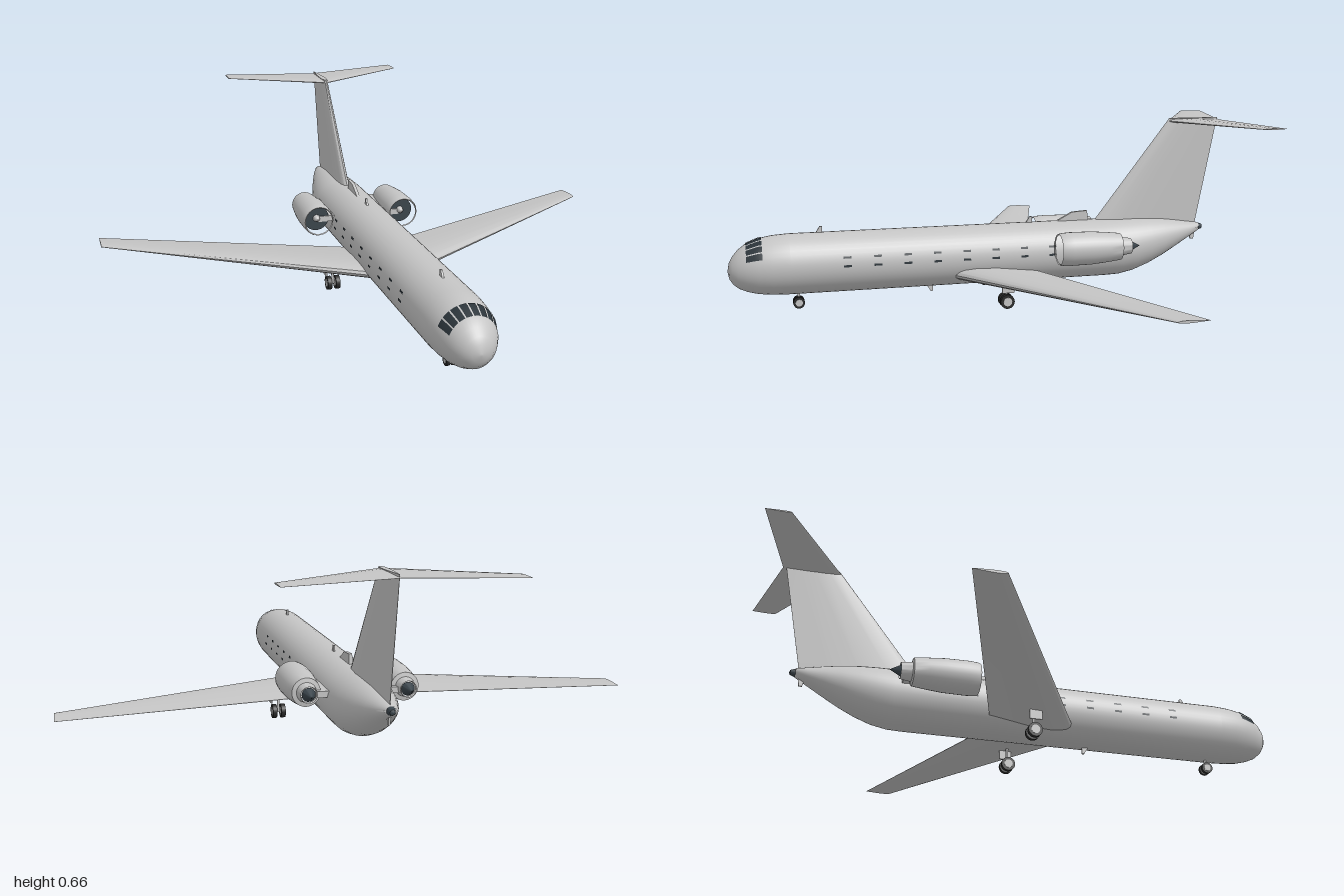
import * as THREE from 'three';
import { mergeGeometries, toCreasedNormals } from 'three/addons/utils/BufferGeometryUtils.js';

const mat = (name, color) => {
  const m = new THREE.MeshStandardMaterial({ color });
  m.name = name;
  return m;
};

// Skin through rings of [x, y, z]; closed rings get end caps.
function loft(rings, closed = true) {
  const n = rings[0].length, pos = rings.flat(), idx = [];
  const cols = closed ? n : n - 1;
  for (let i = 0; i < rings.length - 1; i++) for (let j = 0; j < cols; j++) {
    const a = i * n + j, b = i * n + (j + 1) % n, c = a + n, d = b + n;
    idx.push(a, c, b, b, c, d);
  }
  if (closed) {
    const last = (rings.length - 1) * n;
    for (let j = 1; j < n - 1; j++) idx.push(0, j, j + 1, last, last + j + 1, last + j);
  }
  const g = new THREE.BufferGeometry();
  g.setAttribute('position', new THREE.Float32BufferAttribute(pos.flat(), 3));
  g.setIndex(idx);
  g.computeVertexNormals();
  return g;
}

// Symmetric aerofoil outline: [distance behind leading edge, half height]
const upper = [[0, 0], [0.02, 0.45], [0.08, 0.8], [0.25, 1], [0.5, 0.85], [0.75, 0.45], [1, 0.04]];
const foil = [...upper, ...upper.slice(1).reverse().map(([t, h]) => [t, -h])];

// Sections of [x, y, leading z, trailing z, thickness]
const flatSurface = (sections) => toCreasedNormals(loft(sections.map(([x, y, z0, z1, th]) =>
  foil.map(([t, h]) => [x, y + h * th / 2, z0 + (z1 - z0) * t]))), 0.6);

// Fuselage stations: [z, bottom y, top y, half width]
const stations = [
  [0.987, 0.148, 0.156, 0.004], [0.982, 0.125, 0.184, 0.029], [0.97, 0.106, 0.206, 0.049],
  [0.95, 0.089, 0.229, 0.068], [0.92, 0.076, 0.252, 0.085], [0.88, 0.066, 0.267, 0.098],
  [0.83, 0.061, 0.276, 0.106], [0.77, 0.059, 0.28, 0.11], [-0.42, 0.059, 0.28, 0.11],
  [-0.48, 0.061, 0.28, 0.109], [-0.54, 0.073, 0.28, 0.103], [-0.6, 0.095, 0.278, 0.092],
  [-0.66, 0.124, 0.273, 0.077], [-0.72, 0.158, 0.264, 0.058], [-0.78, 0.193, 0.254, 0.037],
  [-0.82, 0.216, 0.248, 0.02]];

function skin(z, a, off = 0) {
  let i = 0;
  while (i < stations.length - 2 && stations[i + 1][0] > z) i++;
  const p = stations[i], q = stations[i + 1], t = (p[0] - z) / (p[0] - q[0]);
  const [b, top, w] = [1, 2, 3].map(k => p[k] + (q[k] - p[k]) * t);
  return [Math.cos(a) * (w + off), (b + top) / 2 + Math.sin(a) * ((top - b) / 2 + off), z];
}

// Pane lying just proud of the fuselage skin, angles in degrees
function pane(z0, z1, a0, a1) {
  const rings = [];
  for (let i = 0; i <= 4; i++) {
    const ring = [];
    for (let j = 0; j <= 4; j++)
      ring.push(skin(z0 + (z1 - z0) * i / 4, THREE.MathUtils.degToRad(a0 + (a1 - a0) * j / 4), 0.002));
    rings.push(ring);
  }
  return loft(rings, false);
}

// Lathe along z, profile of [radius, z] running from back to front
const turned = (pts) => toCreasedNormals(
  new THREE.LatheGeometry(pts.map(p => new THREE.Vector2(...p)), 32).rotateX(Math.PI / 2), 0.6);

// Thin vertical plate from a [z, y] outline
function blade(outline, thick) {
  const s = new THREE.Shape(outline.map(([z, y]) => new THREE.Vector2(-z, y)));
  return new THREE.ExtrudeGeometry(s, { depth: thick, bevelEnabled: false })
    .translate(0, 0, -thick / 2).rotateY(Math.PI / 2);
}

export function createModel() {
  const root = new THREE.Group();
  root.name = 'airliner';
  const grey = mat('bodyGrey', 0xc4c4c4);
  const glass = mat('darkGlass', 0x2b343a);
  const dark = mat('engineDark', 0x3a444b);
  const rubber = mat('tyreBlack', 0x2a2a2a);
  const add = (name, geo, m, x = 0, y = 0, z = 0, parent = root) => {
    const mesh = new THREE.Mesh(geo, m);
    mesh.name = name;
    mesh.position.set(x, y, z);
    parent.add(mesh);
    return mesh;
  };

  // Fuselage
  add('fuselage', loft(stations.map(([z]) =>
    Array.from({ length: 40 }, (_, j) => skin(z, j / 40 * Math.PI * 2)))), grey);
  add('tailCone', turned([[0, -0.022], [0.009, -0.018], [0.015, 0], [0.015, 0.01]]), dark, 0, 0.232, -0.82);

  // Cockpit windows
  const cockpit = [];
  for (let i = 0; i < 8; i++) cockpit.push(pane(0.922, 0.866, 22 + i * 17 + 1.5, 22 + (i + 1) * 17 - 1.5));
  add('cockpitWindows', mergeGeometries(cockpit), glass);

  // Two rows of cabin windows on both sides
  const cabin = [];
  for (let i = 0; i < 8; i++) for (const a of [2.5, 18.5]) for (const c of [a, 180 - a]) {
    const z = 0.57 - i * 0.109;
    cabin.push(pane(z + 0.014, z - 0.014, c - 2, c + 2));
  }
  add('cabinWindows', mergeGeometries(cabin), glass);

  // Wings, tailplane and fin
  add('wings', flatSurface([[-1, 0.157, -0.31, -0.416, 0.009],
    [0, 0.108, 0.224, -0.106, 0.052], [1, 0.157, -0.31, -0.416, 0.009]]), grey);
  add('tailplane', flatSurface([[-0.377, 0.652, -0.9, -0.99, 0.005],
    [0, 0.652, -0.685, -0.9, 0.016], [0.377, 0.652, -0.9, -0.99, 0.005]]), grey);
  const fin = [[0.22, -0.345, -0.805, 0.044], [0.275, -0.39, -0.815, 0.042], [0.662, -0.69, -0.89, 0.022]];
  add('fin', toCreasedNormals(loft(fin.map(([y, z0, z1, th]) =>
    foil.map(([t, h]) => [-h * th / 2, y, z0 + (z1 - z0) * t]))), 0.6), grey);

  // Dorsal scoop and aerials
  add('dorsalScoop', blade([[-0.22, 0.27], [-0.3, 0.312], [-0.36, 0.316], [-0.365, 0.27]], 0.012), grey);
  for (const z of [0.66, -0.13])
    add('topAerial', blade([[z + 0.015, 0.275], [z - 0.002, 0.302], [z - 0.011, 0.302], [z - 0.011, 0.275]], 0.007), grey);
  add('bellyAerial', blade([[0.268, 0.063], [0.252, 0.036], [0.243, 0.036], [0.243, 0.063]], 0.007), grey);
  add('tailSkid', blade([[-0.785, 0.21], [-0.793, 0.183], [-0.805, 0.183], [-0.81, 0.22]], 0.007), grey);

  // Engines
  for (const s of [-1, 1]) {
    const engine = new THREE.Group();
    engine.name = s > 0 ? 'leftEngine' : 'rightEngine';
    engine.position.set(s * 0.174, 0.207, 0);
    root.add(engine);
    const put = (name, pts, m) => add(name, turned(pts), m, 0, 0, 0, engine);
    put('nacelle', [[0.026, -0.465], [0.029, -0.475], [0.035, -0.435], [0.05, -0.432], [0.056, -0.38],
      [0.061, -0.32], [0.062, -0.24], [0.06, -0.205], [0.057, -0.196], [0.053, -0.2]], grey);
    put('inletDuct', [[0.047, -0.245], [0.053, -0.2]], dark);
    put('fanFace', [[0.05, -0.24], [0, -0.24]], dark);
    put('spinner', [[0.014, -0.24], [0.01, -0.225], [0, -0.216]], grey);
    put('exhaustCone', [[0, -0.512], [0.024, -0.466], [0, -0.465]], dark);
    add('pylon', new THREE.BoxGeometry(0.11, 0.022, 0.22), grey, -s * 0.06, -0.005, -0.345, engine);
  }

  // Landing gear: paired wheels with pale hubs
  function gear(name, x, z, r, gap, w, top) {
    const g = new THREE.Group();
    g.name = name;
    g.position.set(x, 0, z);
    root.add(g);
    for (const s of [-1, 1]) {
      add('tyre', new THREE.CylinderGeometry(r, r, w, 24).rotateZ(Math.PI / 2), rubber, s * gap, r + 0.004, 0, g);
      add('hub', new THREE.CylinderGeometry(r * 0.62, r * 0.62, w + 0.003, 20).rotateZ(Math.PI / 2), grey, s * gap, r + 0.004, 0, g);
    }
    add('axle', new THREE.CylinderGeometry(0.004, 0.004, gap * 2, 10).rotateZ(Math.PI / 2), grey, 0, r + 0.004, 0, g);
    add('strut', new THREE.CylinderGeometry(0.005, 0.005, top - r, 10), grey, 0, (top + r) / 2, 0, g);
  }
  gear('noseGear', 0, 0.74, 0.021, 0.011, 0.012, 0.08);
  for (const s of [-1, 1]) {
    gear('mainGear', s * 0.18, 0.005, 0.026, 0.016, 0.016, 0.11);
    add('gearDoor', new THREE.BoxGeometry(0.005, 0.04, 0.045), grey, s * 0.209, 0.085, 0.005);
  }

  // Rest the tyres on the ground
  for (const o of root.children) o.position.y -= 0.004;
  return root;
}
